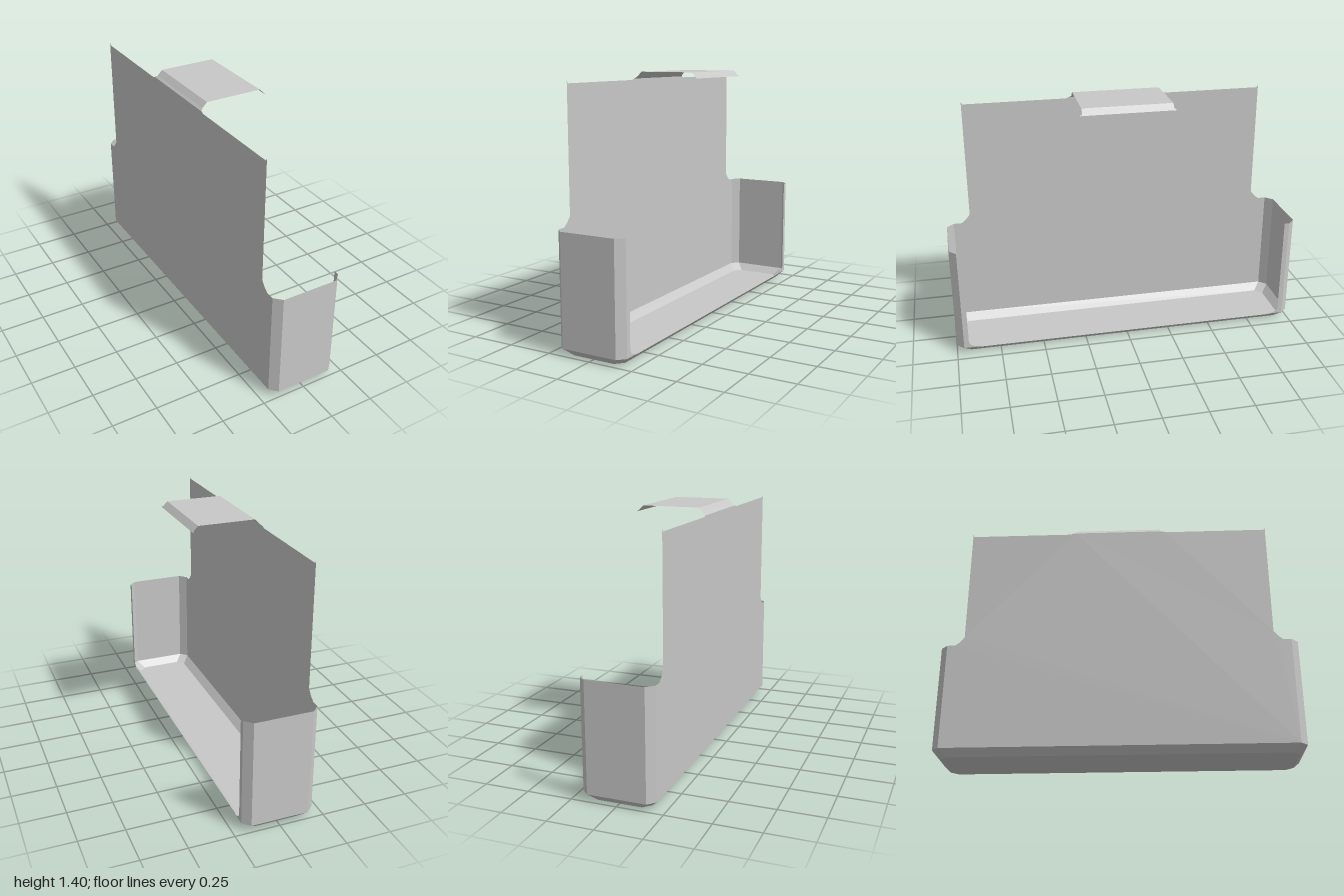
import * as THREE from 'three';

const grey = new THREE.MeshStandardMaterial({ color: 0xc8c8c8, side: THREE.DoubleSide });
grey.name = 'plain grey';

const X = 0.2, Z = 1, C = 0.04;      // half width, half length, chamfer
const WALL = 0.64, PANEL = 1.355, TOP = 1.4;

// Mirror a half outline [z, y] to the other end, giving a closed loop
const mirrored = half => [...half, ...half.slice().reverse().map(([z, y]) => [-z, y])];

const flat = points => new THREE.ShapeGeometry(
  new THREE.Shape(points.map(([a, b]) => new THREE.Vector2(a, b))));

// Sheet of four-cornered faces, each with its own flat normal
function quads(faces) {
  const pos = faces.flatMap(([a, b, c, d]) => [a, b, c, a, c, d].flat());
  const geo = new THREE.BufferGeometry();
  geo.setAttribute('position', new THREE.Float32BufferAttribute(pos, 3));
  geo.computeVertexNormals();
  return geo;
}

export function createModel() {
  const group = new THREE.Group();
  const add = (name, geo) => {
    const mesh = new THREE.Mesh(geo, grey);
    mesh.name = name;
    group.add(mesh);
  };

  // Tall side panel, stepped in above the end walls
  add('sidePanel', flat(mirrored([
    [Z - C, C], [Z - C, WALL], [0.915, WALL], [0.89, 0.66], [0.865, 0.69],
    [0.865, 1.37], [0.858, PANEL], [0.28, PANEL], [0.265, 1.362], [0.25, 1.362],
  ])).translate(0, 0, 0).rotateY(-Math.PI / 2).translate(-X, 0, 0));

  // Floor with cut corners
  const f = X - C, g = Z - C;
  add('floor', flat([
    [f, -g + C], [f, g - C], [f - C, g], [C - f, g],
    [-f, g - C], [-f, C - g], [C - f, -g], [f - C, -g],
  ]).rotateX(Math.PI / 2));

  // Bevel along the floor's long edges; the open side is trimmed slightly lower
  add('panelFloorBevel', quads([
    [[-f, 0, -g + C], [-f, 0, g - C], [-X, C, g], [-X, C, -g]],
  ]));
  const rim = [[-g, X], [-0.89, X], [-0.86, 0.192], [0.86, 0.192], [0.89, X], [g, X]];
  const foot = z => Math.max(C - g, Math.min(g - C, z));
  add('openFloorBevel', quads(rim.slice(1).map(([z, x], i) => {
    const [z0, x0] = rim[i];
    return [[f, 0, foot(z0)], [x0, x0 - f, z0], [x, x - f, z], [f, 0, foot(z)]];
  })));

  for (const s of [-1, 1]) {
    const end = s > 0 ? 'front' : 'back';
    // End wall with a chamfer on each upright edge
    const plan = [[-X, g], [-f, Z], [f, Z], [X, g]];
    add(end + 'Wall', quads(plan.slice(1).map(([x, z], i) => {
      const [x0, z0] = plan[i];
      const q = [[x0, C, s * z0], [x, C, s * z], [x, WALL, s * z], [x0, WALL, s * z0]];
      return s > 0 ? q : q.reverse();
    })));
    // Bevel from the wall down to the floor
    const low = [[-f, g - C], [C - f, g], [f - C, g], [f, g - C]];
    add(end + 'FloorBevel', quads(plan.slice(1).map(([x, z], i) => {
      const [x0, z0] = plan[i], [a0, b0] = low[i], [a, b] = low[i + 1];
      const q = [[a0, 0, s * b0], [a, 0, s * b], [x, C, s * z], [x0, C, s * z0]];
      return s > 0 ? q : q.reverse();
    })));
    // Narrow return lip on the open side
    add(end + 'Lip', flat([
      [s * g, C], [s * g, WALL], [s * 0.932, WALL], [s * 0.932, 0.075],
      [s * 0.92, 0.055], [s * 0.89, C],
    ]).rotateY(-Math.PI / 2).translate(X, 0, 0));
  }

  // Top tab bridging across from the panel, flared where it bends down
  const tab = [[-X, 1.355, 0.275], [-X, 1.362, 0.262], [-0.188, 1.372, 0.25], [-f, TOP, 0.25],
    [f, TOP, 0.25], [0.183, 1.377, 0.25], [0.192, 1.368, 0.265]];
  add('topTab', quads(tab.slice(1).map(([x, y, z], i) => {
    const [x0, y0, z0] = tab[i];
    return [[x0, y0, z0], [x, y, z], [x, y, -z], [x0, y0, -z0]];
  })));

  return group;
}
